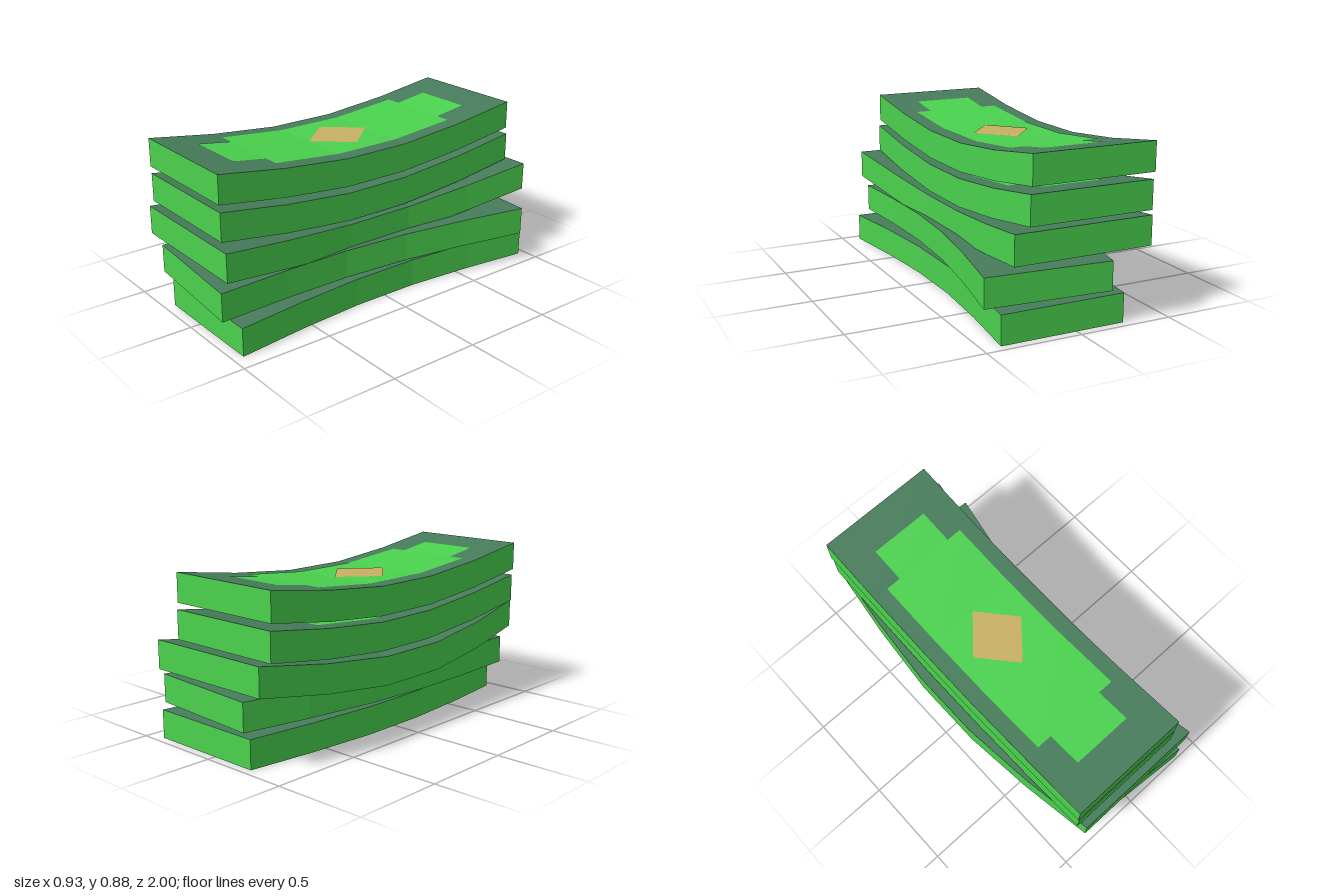
import * as THREE from 'three';

const mat = (color) => new THREE.MeshStandardMaterial({ color, flatShading: true });
const green = mat(0x4ad24e);
const darkGreen = mat(0x477c5b);
const tan = mat(0xc8b062);

const THICK = 0.152;
const LENGTH = 1.9; // five straight segments of 0.38

// Amount of bend (0 in the middle, 1 at the ends) at a distance along the bundle
function bendAt(z) {
  const a = Math.abs(z);
  if (a <= 0.19) return 0;
  if (a <= 0.57) return ((a - 0.19) / 0.38) * 0.39;
  return 0.39 + ((a - 0.57) / 0.38) * 0.61;
}

// Curl the ends upwards (rise) and bow the middle sideways (bow)
function bend(geometry, { rise, bow }) {
  const p = geometry.attributes.position;
  for (let i = 0; i < p.count; i++) {
    const b = bendAt(p.getZ(i));
    p.setX(i, p.getX(i) - bow * (1 - b));
    p.setY(i, p.getY(i) + rise * b);
  }
  geometry.computeVertexNormals();
  return geometry;
}

// Flat printed panel lying just above the bundle's top face
function panel(geometry, z, lift, material, name, spec) {
  geometry.rotateX(-Math.PI / 2).translate(0, THICK + lift, z);
  const mesh = new THREE.Mesh(bend(geometry, spec), material);
  mesh.name = name;
  return mesh;
}

function createBundle(spec) {
  const bundle = new THREE.Group();

  // Paper block, with a darker top face
  const block = new THREE.BoxGeometry(0.667, THICK, LENGTH, 1, 1, 5).translate(0, THICK / 2, 0);
  const paper = new THREE.Mesh(bend(block, spec), [green, green, darkGreen, green, green, green]);
  paper.name = 'paperBlock';
  bundle.add(paper);

  // Printed panels
  bundle.add(panel(new THREE.PlaneGeometry(0.5, 1.14, 1, 3), 0, 0.002, green, 'centrePanel', spec));
  for (const s of [1, -1]) {
    bundle.add(panel(new THREE.PlaneGeometry(0.33, 0.19), s * 0.665, 0.002, green, 'endPanel', spec));
  }
  const diamond = new THREE.CircleGeometry(1, 4).scale(0.165, 0.19, 1);
  bundle.add(panel(diamond, 0, 0.004, tan, 'diamond', spec));

  bundle.position.set(spec.x, spec.y, spec.z);
  bundle.rotation.y = spec.turn || 0;
  bundle.scale.set(spec.wide || 1, 1, spec.long || 1);
  return bundle;
}

export function createModel() {
  const model = new THREE.Group();
  model.name = 'banknoteStack';
  // Bundles from bottom to top
  const specs = [
    { x: 0.072, y: 0, z: -0.006, rise: 0, bow: 0.075 },
    { x: 0.059, y: 0.167, z: 0.027, rise: 0, bow: 0.075, turn: -0.075 },
    { x: -0.009, y: 0.293, z: -0.006, rise: 0.092, bow: 0.075, wide: 1.11, long: 1.045 },
    { x: -0.077, y: 0.458, z: -0.003, rise: 0.088, bow: 0 },
    { x: -0.085, y: 0.643, z: -0.004, rise: 0.09, bow: 0 },
  ];
  specs.forEach((spec, i) => {
    const bundle = createBundle(spec);
    bundle.name = `bundle${i + 1}`;
    model.add(bundle);
  });
  return model;
}
